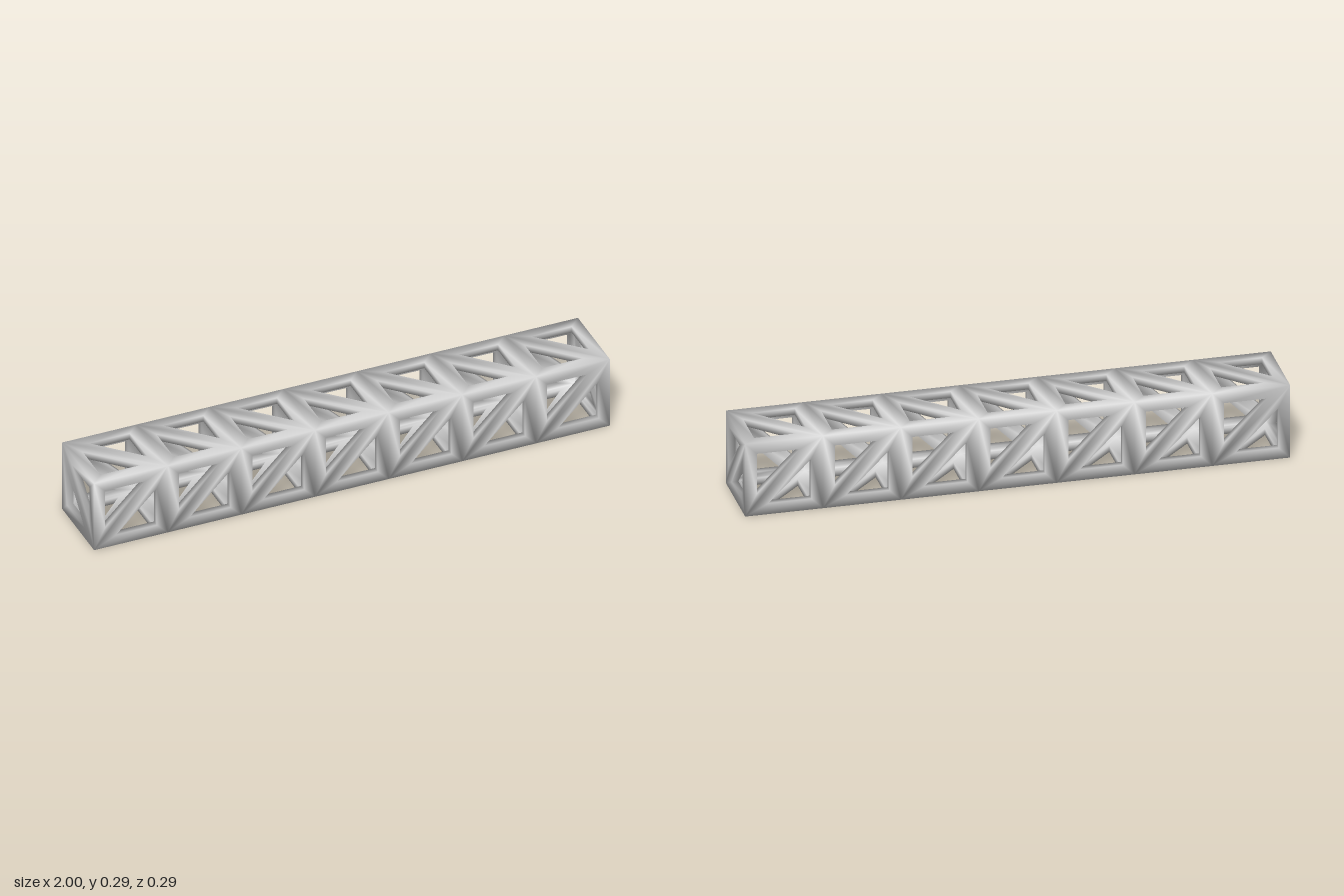
import * as THREE from 'three';
import { mergeVertices } from 'three/addons/utils/BufferGeometryUtils.js';

const BAYS = 7;
const SIZE = 2 / BAYS;      // each bay is a cube
const HALF = SIZE / 2;
const WALL = 0.025;         // thickness of the lattice
const OPENING = 0.55;       // hole size relative to its triangle

const v = (x, y, z) => new THREE.Vector3(x, y, z);

// Matching point on the inner skin: clamp to a slightly smaller box
const innerMin = v(-1 + WALL, WALL, -HALF + WALL);
const innerMax = v(1 - WALL, SIZE - WALL, HALF - WALL);
const inner = (p) => p.clone().clamp(innerMin, innerMax);

function latticeGeometry(panels) {
  const positions = [];
  const quad = (a, b, c, d) => {
    for (const p of [a, b, c, a, c, d]) positions.push(p.x, p.y, p.z);
  };

  // Triangular frame with a triangular hole, corners anticlockwise from outside
  const triangle = (...outer) => {
    const centre = v(0, 0, 0);
    outer.forEach((p) => centre.addScaledVector(p, 1 / 3));
    const hole = outer.map((p) => centre.clone().lerp(p, OPENING));
    for (let i = 0; i < 3; i++) {
      const j = (i + 1) % 3;
      quad(outer[i], outer[j], hole[j], hole[i]);                             // outer skin
      quad(inner(outer[j]), inner(outer[i]), inner(hole[i]), inner(hole[j])); // inner skin
      quad(hole[i], hole[j], inner(hole[j]), inner(hole[i]));                 // hole wall
    }
  };

  // The brace of each square panel runs from its first to its third corner
  for (const [a, b, c, d] of panels) {
    triangle(a, b, c);
    triangle(a, c, d);
  }

  const raw = new THREE.BufferGeometry();
  raw.setAttribute('position', new THREE.Float32BufferAttribute(positions, 3));
  const geometry = mergeVertices(raw, 1e-4);
  geometry.computeVertexNormals();
  return geometry;
}

export function createModel() {
  const panels = [];

  // Four braced sides of every bay
  for (let i = 0; i < BAYS; i++) {
    const l = -1 + i * SIZE;
    const r = l + SIZE;
    panels.push(
      [v(l, 0, HALF), v(r, 0, HALF), v(r, SIZE, HALF), v(l, SIZE, HALF)],            // front
      [v(r, 0, -HALF), v(l, 0, -HALF), v(l, SIZE, -HALF), v(r, SIZE, -HALF)],        // back
      [v(r, SIZE, HALF), v(r, SIZE, -HALF), v(l, SIZE, -HALF), v(l, SIZE, HALF)],    // top
      [v(l, 0, HALF), v(l, 0, -HALF), v(r, 0, -HALF), v(r, 0, HALF)],                // bottom
    );
  }

  // Braced end panels
  const end = (x) => [v(x, 0, HALF), v(x, 0, -HALF), v(x, SIZE, -HALF), v(x, SIZE, HALF)];
  const [a, b, c, d] = end(-1);
  panels.push(end(1), [a, d, c, b]);

  const truss = new THREE.Mesh(
    latticeGeometry(panels),
    new THREE.MeshStandardMaterial({ color: 0xcccccc }),
  );
  truss.name = 'trussLattice';

  const group = new THREE.Group();
  group.name = 'boxTruss';
  group.add(truss);
  return group;
}
